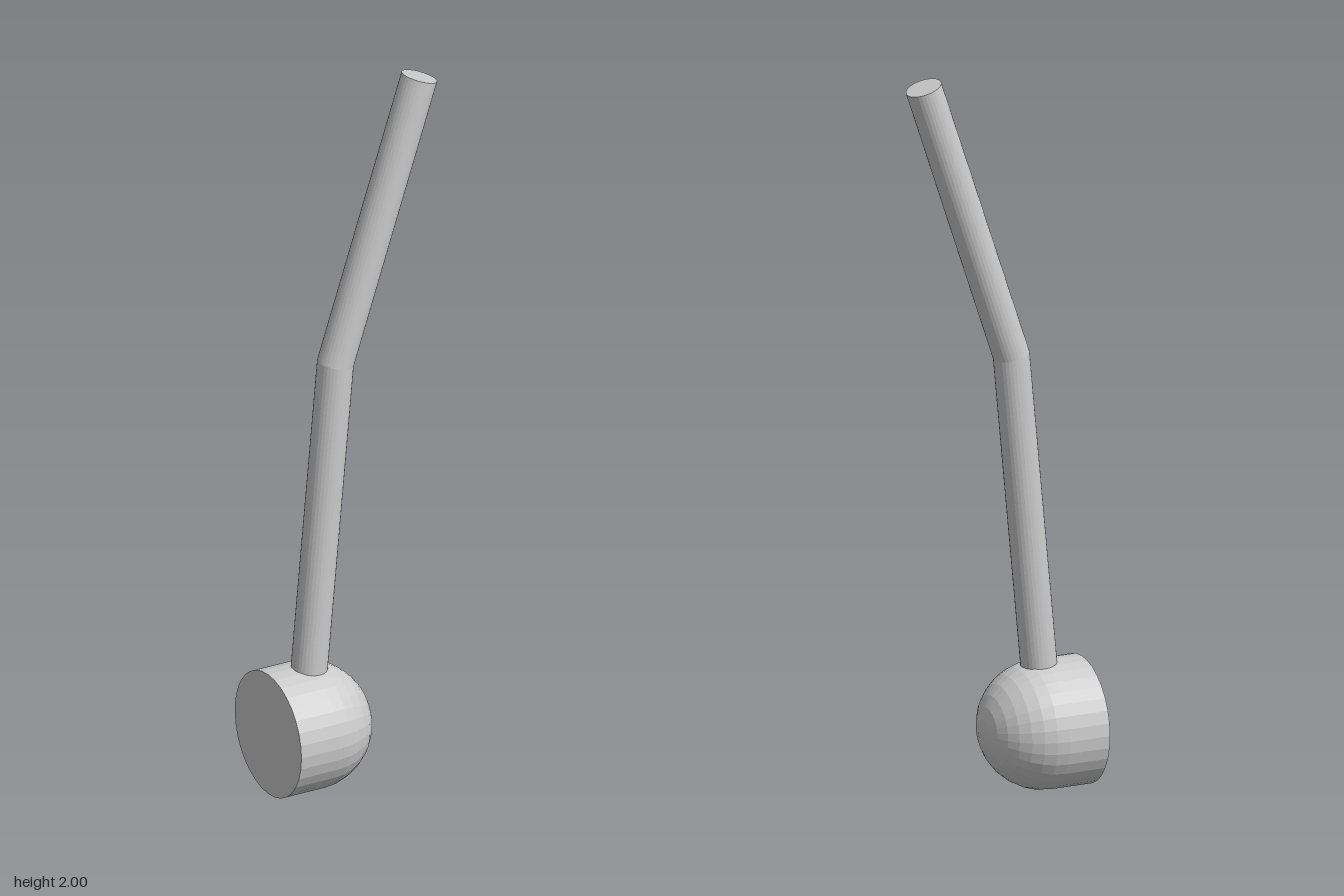
import * as THREE from 'three';

const material = new THREE.MeshStandardMaterial({ color: 0xcccccc, flatShading: true });

// Rounded knob: a short drum with a flat end at -x and a dome towards +x
function createKnob() {
  const radius = 0.174, drum = 0.117, steps = 8;
  const profile = [new THREE.Vector2(0, -drum), new THREE.Vector2(radius, -drum)];
  for (let i = 0; i <= steps; i++) {
    const a = (i / steps) * Math.PI / 2;
    profile.push(new THREE.Vector2(i === steps ? 0 : radius * Math.cos(a), radius * Math.sin(a)));
  }
  const geometry = new THREE.LatheGeometry(profile, 32);
  geometry.rotateZ(-Math.PI / 2);
  const knob = new THREE.Mesh(geometry, material);
  knob.name = 'knob';
  knob.position.set(-0.14, 0.175, 0);
  return knob;
}

// Bent rod: a capped cylinder whose three rings are moved onto the bent path
function createRod() {
  const radius = 0.049;
  const path = [
    new THREE.Vector3(-0.138, 0.3, 0.005),
    new THREE.Vector3(-0.051, 1.21, 0),
    new THREE.Vector3(0.206, 1.985, 0),
  ];
  const across = (a, b) => new THREE.Vector3(b.y - a.y, a.x - b.x, 0).normalize();
  const lower = across(path[0], path[1]);
  const upper = across(path[1], path[2]);
  // The middle ring is mitred, so it is stretched to keep the rod's thickness
  const mitre = lower.clone().add(upper).normalize();
  mitre.divideScalar(mitre.dot(lower));
  const sides = [lower, mitre, upper];

  const geometry = new THREE.CylinderGeometry(radius, radius, 2, 32, 2);
  const position = geometry.attributes.position;
  for (let i = 0; i < position.count; i++) {
    const ring = Math.round(position.getY(i)) + 1;
    const p = path[ring].clone().addScaledVector(sides[ring], position.getX(i));
    position.setXYZ(i, p.x, p.y, p.z + position.getZ(i));
  }
  geometry.computeVertexNormals();
  const rod = new THREE.Mesh(geometry, material);
  rod.name = 'bentRod';
  return rod;
}

export function createModel() {
  const model = new THREE.Group();
  model.name = 'bentLever';
  model.add(createKnob(), createRod());
  return model;
}
